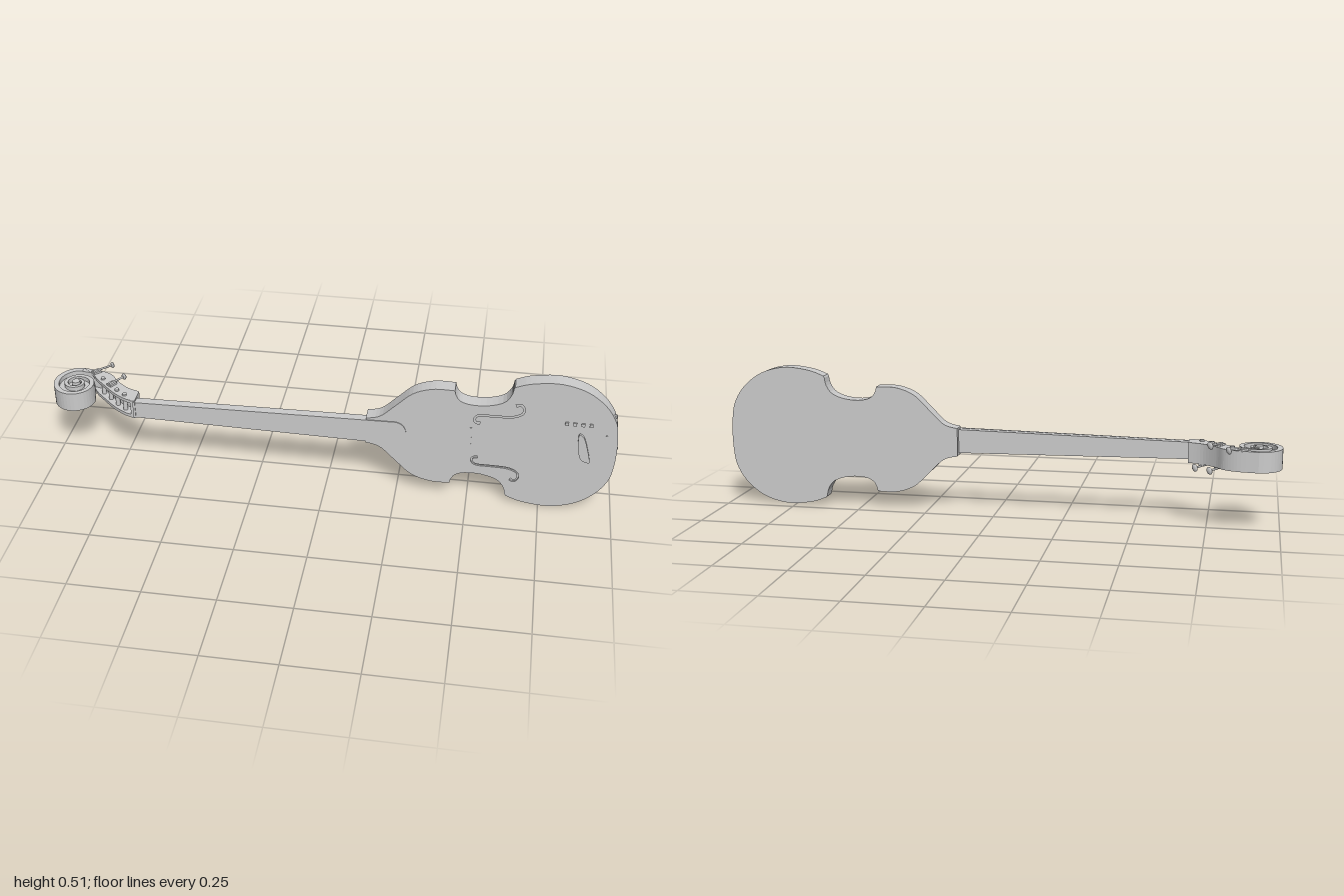
import * as THREE from 'three';

const MID = 0.256; // height of the long axis of symmetry
const mat = new THREE.MeshStandardMaterial({ color: 0xcccccc });
const V2 = (p) => new THREE.Vector2(p[0], p[1]);
const spline = (pts, n) => new THREE.SplineCurve(pts.map(V2)).getPoints(n);

function add(group, name, geo) {
  const mesh = new THREE.Mesh(geo, mat);
  mesh.name = name;
  group.add(mesh);
  return mesh;
}
// Outline in x-y, from z0 to z1
function plate(shape, z0, z1) {
  const g = new THREE.ExtrudeGeometry(shape, { depth: z1 - z0, bevelEnabled: false, curveSegments: 20 });
  return g.translate(0, 0, z0);
}
// Outline in x-z, from y0 to y1
function slab(points, y0, y1) {
  const shape = new THREE.Shape(points.map((p) => new THREE.Vector2(p.x, -p.y)));
  const g = new THREE.ExtrudeGeometry(shape, { depth: y1 - y0, bevelEnabled: false });
  return g.rotateX(-Math.PI / 2).translate(0, y0, 0);
}
// Cylinder between two points
function rod(a, b, r, sides = 12) {
  const d = b.clone().sub(a);
  const g = new THREE.CylinderGeometry(r, r, d.length(), sides);
  g.applyQuaternion(new THREE.Quaternion().setFromUnitVectors(new THREE.Vector3(0, 1, 0), d.normalize()));
  const m = a.clone().add(b).multiplyScalar(0.5);
  return g.translate(m.x, m.y, m.z);
}

// Violin outline: upper bout, waist, lower bout, then mirrored
function bodyPoints() {
  const half = [
    ...spline([[0.14, 0.051], [0.19, 0.065], [0.245, 0.117], [0.3, 0.168], [0.366, 0.192], [0.438, 0.193]], 22),
    ...spline([[0.441, 0.179], [0.455, 0.156], [0.489, 0.143], [0.545, 0.143], [0.6, 0.16], [0.625, 0.19], [0.632, 0.219]], 18),
    ...spline([[0.636, 0.226], [0.69, 0.245], [0.782, 0.254], [0.87, 0.232], [0.938, 0.182], [0.978, 0.12], [0.99, 0.06], [0.993, 0]], 30),
  ];
  const mirrored = half.slice(0, -1).reverse().map((p) => new THREE.Vector2(p.x, -p.y));
  return [...half, ...mirrored].map((p) => new THREE.Vector2(p.x, p.y + MID));
}
// Sound hole: a curling centre line thickened towards both ends
function soundHole(sign) {
  const curve = new THREE.SplineCurve([[0.528, 0.07], [0.513, 0.075], [0.51, 0.09], [0.527, 0.103], [0.58, 0.104],
    [0.635, 0.107], [0.667, 0.122], [0.672, 0.143], [0.66, 0.158], [0.645, 0.153]].map(V2));
  const left = [], right = [];
  const n = 40;
  for (let i = 0; i <= n; i++) {
    const t = i / n, p = curve.getPoint(t), d = curve.getTangent(t);
    const w = 0.003 + 0.003 * Math.pow(Math.abs(2 * t - 1), 6);
    left.push(new THREE.Vector2(p.x - d.y * w, MID + sign * (p.y + d.x * w)));
    right.push(new THREE.Vector2(p.x + d.y * w, MID + sign * (p.y - d.x * w)));
  }
  return new THREE.Path([...left, ...right.reverse()]);
}

function buildBody() {
  const g = new THREE.Group();
  g.name = 'body';
  const pts = bodyPoints();
  add(g, 'bodyBlock', plate(new THREE.Shape(pts), 0.048, 0.096));
  const top = new THREE.Shape(pts);
  top.holes.push(soundHole(1), soundHole(-1));
  add(g, 'bodyTop', plate(top, 0.096, 0.102));

  // Low bridge, row of switches and teardrop control
  add(g, 'bridge', new THREE.BoxGeometry(0.006, 0.1, 0.004).translate(0.5, MID, 0.103));
  for (let i = 0; i < 4; i++) {
    add(g, 'switch', new THREE.BoxGeometry(0.012, 0.012, 0.006).translate(0.817 + i * 0.027, 0.357, 0.104));
  }
  const drop = spline([[0.864, 0.322], [0.88, 0.307], [0.895, 0.262], [0.906, 0.216], [0.9, 0.208],
    [0.874, 0.222], [0.863, 0.268], [0.86, 0.31], [0.864, 0.322]], 32);
  add(g, 'controlPlate', plate(new THREE.Shape(drop.slice(0, -1)), 0.101, 0.112));
  add(g, 'knob', rod(new THREE.Vector3(0.953, 0.318, 0.1), new THREE.Vector3(0.953, 0.318, 0.105), 0.004));

  // Sockets and strap button on the tail edge
  for (const [x, y, a] of [[0.974, 0.383, 0.5], [0.99, MID, 0]]) {
    const at = (d) => new THREE.Vector3(x + d * Math.cos(a), y + d * Math.sin(a), 0.074);
    add(g, 'socketRim', rod(at(-0.006), at(0.005), 0.008, 20));
    add(g, 'socketPin', rod(at(0), at(0.007), 0.004, 16));
  }
  return g;
}

function buildNeck() {
  const g = new THREE.Group();
  g.name = 'neck';
  const taper = (x0, x1, h0, h1, round) => {
    const s = new THREE.Shape();
    s.moveTo(x0, MID - h0);
    s.lineTo(x1, MID - h1);
    if (round) s.absellipse(x1, MID, 0.04, h1, -Math.PI / 2, Math.PI / 2, false);
    s.lineTo(x1, MID + h1);
    s.lineTo(x0, MID + h0);
    return s;
  };
  add(g, 'neckShaft', plate(taper(-0.685, 0.15, 0.03, 0.043), 0.072, 0.1));
  add(g, 'fingerboard', plate(taper(-0.685, 0.24, 0.031, 0.046, true), 0.1, 0.105));
  add(g, 'nut', new THREE.BoxGeometry(0.008, 0.066, 0.008).translate(-0.682, MID, 0.104));
  return g;
}

function buildHead() {
  const g = new THREE.Group();
  g.name = 'head';
  const y0 = 0.22, y1 = 0.292;
  const front = spline([[-0.68, 0.103], [-0.72, 0.092], [-0.77, 0.06], [-0.82, 0.015], [-0.852, -0.015]], 20);
  const back = spline([[-0.68, 0.04], [-0.73, 0.021], [-0.775, -0.015], [-0.805, -0.05], [-0.85, -0.07], [-0.92, -0.079]], 24);
  const inner = spline([[-0.92, -0.058], [-0.855, -0.048], [-0.82, -0.03], [-0.78, 0.012], [-0.735, 0.045], [-0.68, 0.065]], 24);

  // Open peg box: two cheeks, curved floor, end block and cross rollers
  const side = [...front, new THREE.Vector2(-0.875, -0.045), ...back.slice().reverse()];
  add(g, 'pegBoxCheek', slab(side, y0, y0 + 0.012));
  add(g, 'pegBoxCheek', slab(side, y1 - 0.012, y1));
  add(g, 'pegBoxFloor', slab([...back, ...inner], y0 + 0.001, y1 - 0.001));
  add(g, 'pegBoxEnd', new THREE.BoxGeometry(0.016, y1 - y0, 0.062).translate(-0.688, MID, 0.072));
  const rollers = [[-0.725, 0.07], [-0.76, 0.045], [-0.795, 0.013], [-0.83, -0.018]];
  for (const [x, z] of rollers) {
    add(g, 'stringRoller', rod(new THREE.Vector3(x, y0 - 0.006, z), new THREE.Vector3(x, y1 + 0.006, z), 0.008, 16));
  }

  // Scroll: a tapering spiral band round a core, on a thin web
  const cx = -0.92, cz = 0.015, outer = [], inside = [], n = 80;
  const radius = new THREE.SplineCurve([0.094, 0.08, 0.08, 0.066, 0.05, 0.043, 0.036, 0.03, 0.025].map((r, i) => new THREE.Vector2(i, r)));
  for (let i = 0; i <= n; i++) {
    const t = i / n, a = t * 4 * Math.PI, r = radius.getPoint(t).y, w = 0.02 - 0.011 * t;
    const at = (q) => new THREE.Vector2(cx - q * Math.sin(a), cz - q * Math.cos(a));
    outer.push(at(r));
    inside.push(at(r - w));
  }
  add(g, 'scrollBand', slab([...outer, ...inside.reverse()], y0, y1));
  add(g, 'scrollWeb', new THREE.CylinderGeometry(0.066, 0.066, 0.04, 40).translate(cx, MID, cz));
  add(g, 'scrollCore', new THREE.CylinderGeometry(0.014, 0.018, 0.082, 24).translate(cx, MID, cz));

  // Tuners: shaft along the cheek, gear plate and flat oval button
  const tuners = [[-0.875, -0.05, -0.82, -0.104, 1], [-0.795, 0.022, -0.757, -0.036, 1],
    [-0.795, 0.022, -0.757, -0.04, -1], [-0.74, 0.05, -0.706, -0.004, -1]];
  for (const [ax, az, bx, bz, s] of tuners) {
    const y = MID + s * 0.043;
    const a = new THREE.Vector3(ax, y, az), b = new THREE.Vector3(bx, y, bz);
    const tuner = new THREE.Group();
    tuner.name = 'tuner';
    add(tuner, 'tunerShaft', rod(a, b, 0.0035, 10));
    const dir = b.clone().sub(a).normalize();
    const button = new THREE.SphereGeometry(1, 16, 10).scale(0.011, 0.005, 0.014);
    button.applyQuaternion(new THREE.Quaternion().setFromUnitVectors(new THREE.Vector3(0, 1, 0), dir));
    add(tuner, 'tunerButton', button.translate(bx, y, bz));
    const mount = new THREE.BoxGeometry(0.022, 0.008, 0.03).rotateY(Math.atan2(dir.x, dir.z));
    add(tuner, 'tunerMount', mount.translate(ax + dir.x * 0.012, MID + s * 0.039, az + dir.z * 0.012));
    g.add(tuner);
  }
  return g;
}

export function createModel() {
  const model = new THREE.Group();
  model.name = 'violinBass';
  model.add(buildBody(), buildNeck(), buildHead());
  return model;
}
